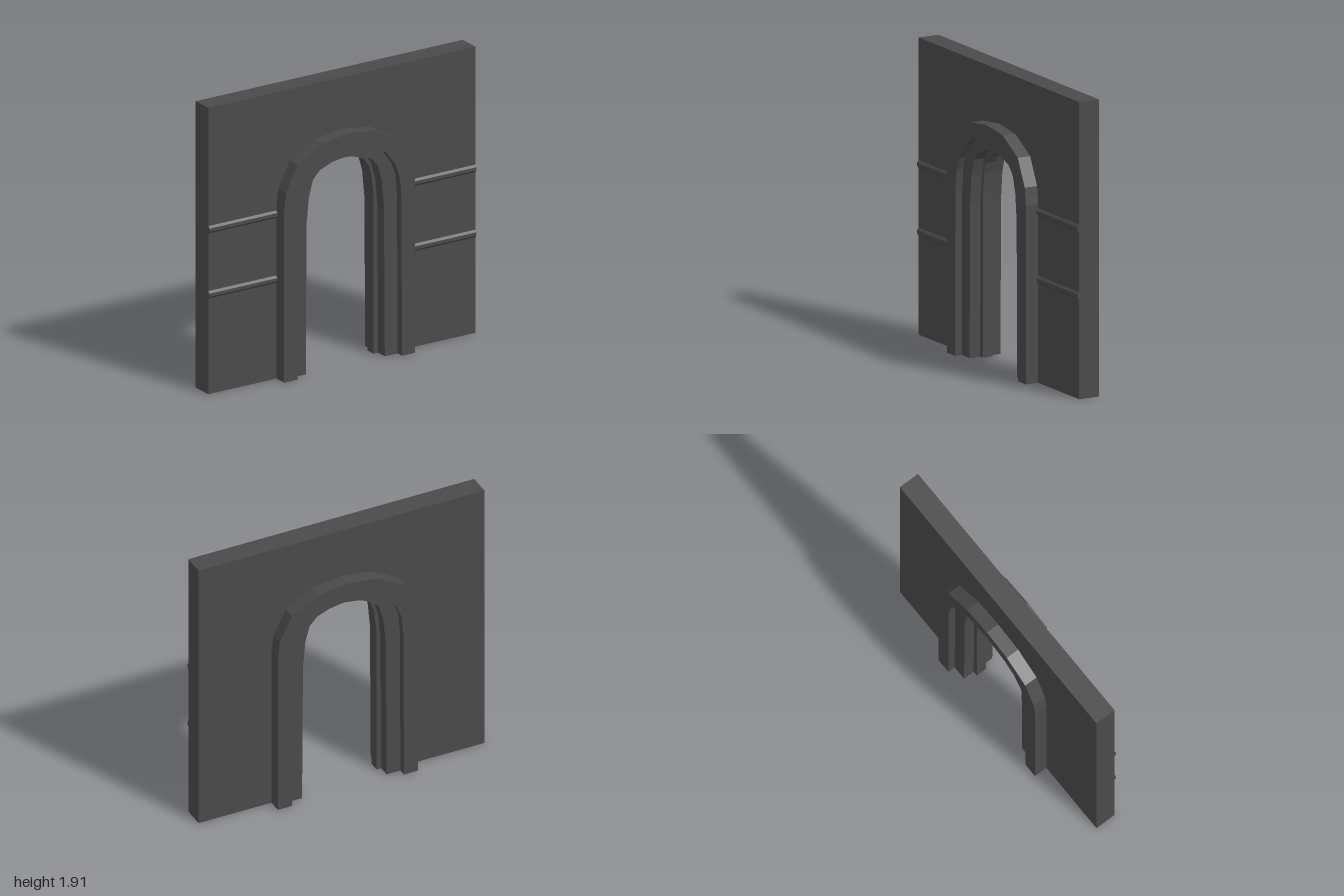
import * as THREE from 'three';

// Right half of each arch outline, from the floor up to the crown
const OUTER = [[0.49, 0], [0.49, 1.15], [0.476, 1.265], [0.39, 1.44], [0.203, 1.545], [0, 1.57]];
const MIDDLE = [[0.392, 0], [0.388, 1.06], [0.375, 1.2], [0.345, 1.285], [0.275, 1.383], [0.18, 1.44], [0, 1.473]];
const INNER = [[0.296, 0], [0.29, 1.0], [0.273, 1.18], [0.242, 1.29], [0.19, 1.345], [0.1, 1.38], [0, 1.395]];
const OPENING = [[0.263, 0], [0.261, 1.06], [0.246, 1.195], [0.226, 1.265], [0.187, 1.32], [0.1, 1.355], [0, 1.362]];
const WALL = [[1, 0], [1, 1.915], [0, 1.915]];

// Mirror a half outline into a full one running from +x over the crown to -x
function fullArch(half) {
  const left = half.slice(0, -1).reverse().map(([x, y]) => [-x, y]);
  return [...half, ...left].map(([x, y]) => new THREE.Vector2(x, y));
}

// Solid band between two outlines, centred on z = 0
function archBand(name, outer, inner, halfDepth, material) {
  const shape = new THREE.Shape([...fullArch(outer), ...fullArch(inner).reverse()]);
  const geometry = new THREE.ExtrudeGeometry(shape, { depth: halfDepth * 2, bevelEnabled: false });
  geometry.translate(0, 0, -halfDepth);
  const mesh = new THREE.Mesh(geometry, material);
  mesh.name = name;
  return mesh;
}

export function createModel() {
  const group = new THREE.Group();
  group.name = 'archedWall';
  const stone = new THREE.MeshStandardMaterial({ color: 0x4a4a4a });
  stone.name = 'dark stone';

  // Wall and the three stepped orders of the doorway
  group.add(
    archBand('wall', WALL, OUTER, 0.072, stone),
    archBand('outerArchTrim', OUTER, MIDDLE, 0.162, stone),
    archBand('middleArchStep', MIDDLE, INNER, 0.112, stone),
    archBand('innerArchStep', INNER, OPENING, 0.036, stone)
  );

  // Shallow horizontal mouldings on the front, either side of the arch
  const profile = new THREE.Shape([
    new THREE.Vector2(0, -0.025),
    new THREE.Vector2(0.012, -0.011),
    new THREE.Vector2(0.012, 0.011),
    new THREE.Vector2(0, 0.025)
  ]);
  const length = 0.51;
  const moulding = new THREE.ExtrudeGeometry(profile, { depth: length, bevelEnabled: false });
  moulding.rotateY(-Math.PI / 2); // profile depth to +z, length along -x
  moulding.translate(length / 2, 0, 0);
  for (const y of [0.665, 1.1]) {
    for (const side of [-1, 1]) {
      const mesh = new THREE.Mesh(moulding, stone);
      mesh.name = side > 0 ? 'leftMoulding' : 'rightMoulding';
      mesh.position.set(side * (1 - length / 2), y, 0.072);
      group.add(mesh);
    }
  }
  return group;
}
